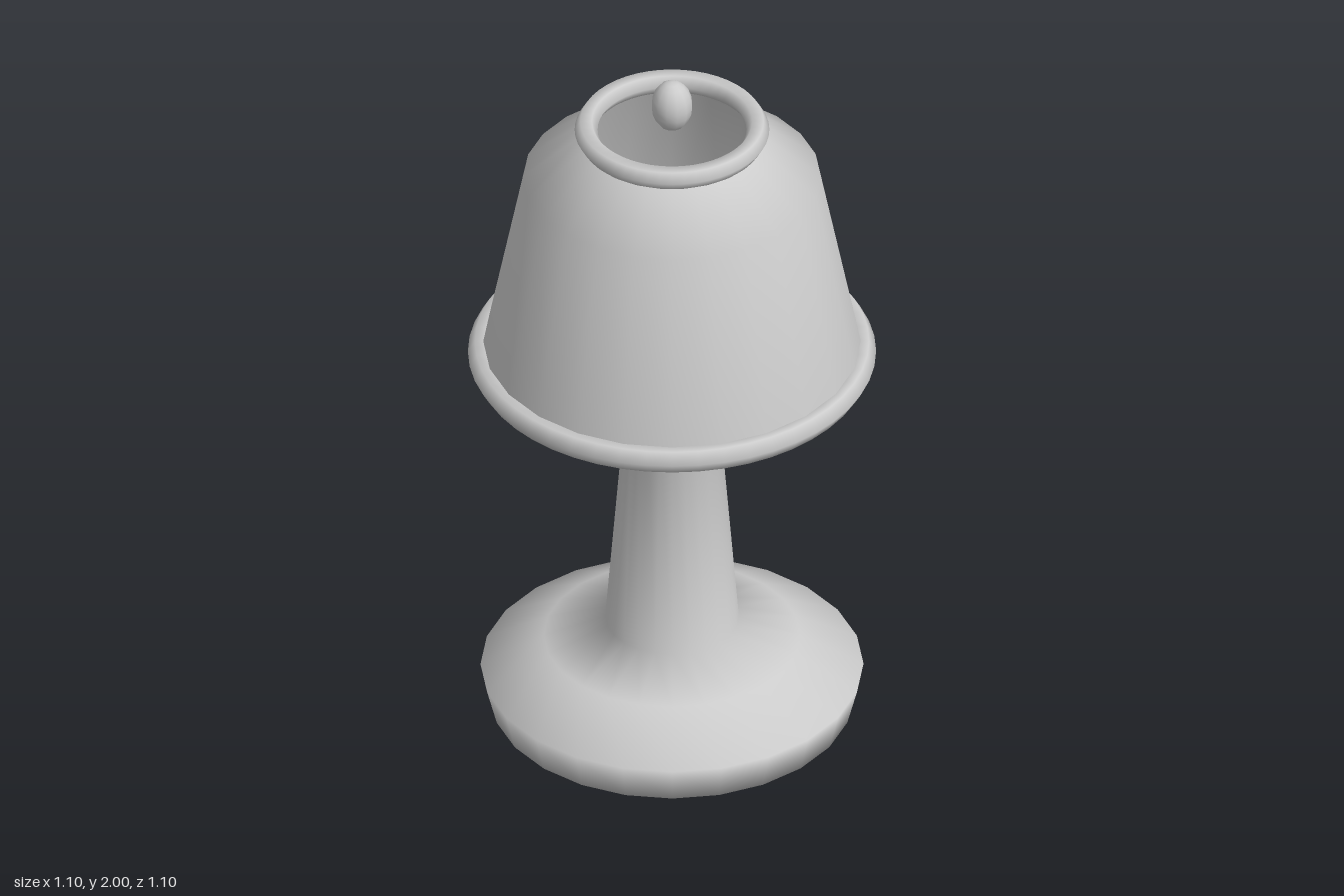
import * as THREE from 'three';

const material = new THREE.MeshStandardMaterial({ color: 0xcccccc, side: THREE.DoubleSide });

function lathe(name, points) {
  const profile = points.map(([r, y]) => new THREE.Vector2(r, y));
  const mesh = new THREE.Mesh(new THREE.LatheGeometry(profile, 24), material);
  mesh.name = name;
  return mesh;
}

function ring(name, radius, tube, y) {
  const geometry = new THREE.TorusGeometry(radius, tube, 6, 48).rotateX(Math.PI / 2);
  const mesh = new THREE.Mesh(geometry, material);
  mesh.name = name;
  mesh.position.y = y;
  return mesh;
}

export function createModel() {
  const lamp = new THREE.Group();
  lamp.name = 'tableLamp';

  // Foot, tapering stem and open flared cup in one hollow profile
  lamp.add(lathe('base', [
    [0, 0], [0.488, 0], [0.515, 0.105], [0.345, 0.2],
    [0.18, 0.26], [0.127, 0.923], [0.285, 1.065],
  ]));

  // Thin open shade with a shoulder
  lamp.add(lathe('shade', [[0.514, 1.124], [0.4, 1.695], [0.25, 1.82], [0.231, 1.846]]));

  // Rolled rims of the shade
  lamp.add(ring('lowerRim', 0.511, 0.038, 1.124));
  lamp.add(ring('upperRim', 0.231, 0.031, 1.846));

  // Egg-shaped finial above the opening
  const finial = new THREE.Mesh(new THREE.SphereGeometry(1, 12, 10), material);
  finial.name = 'finial';
  finial.scale.set(0.056, 0.075, 0.056);
  finial.position.y = 1.925;
  lamp.add(finial);

  return lamp;
}
